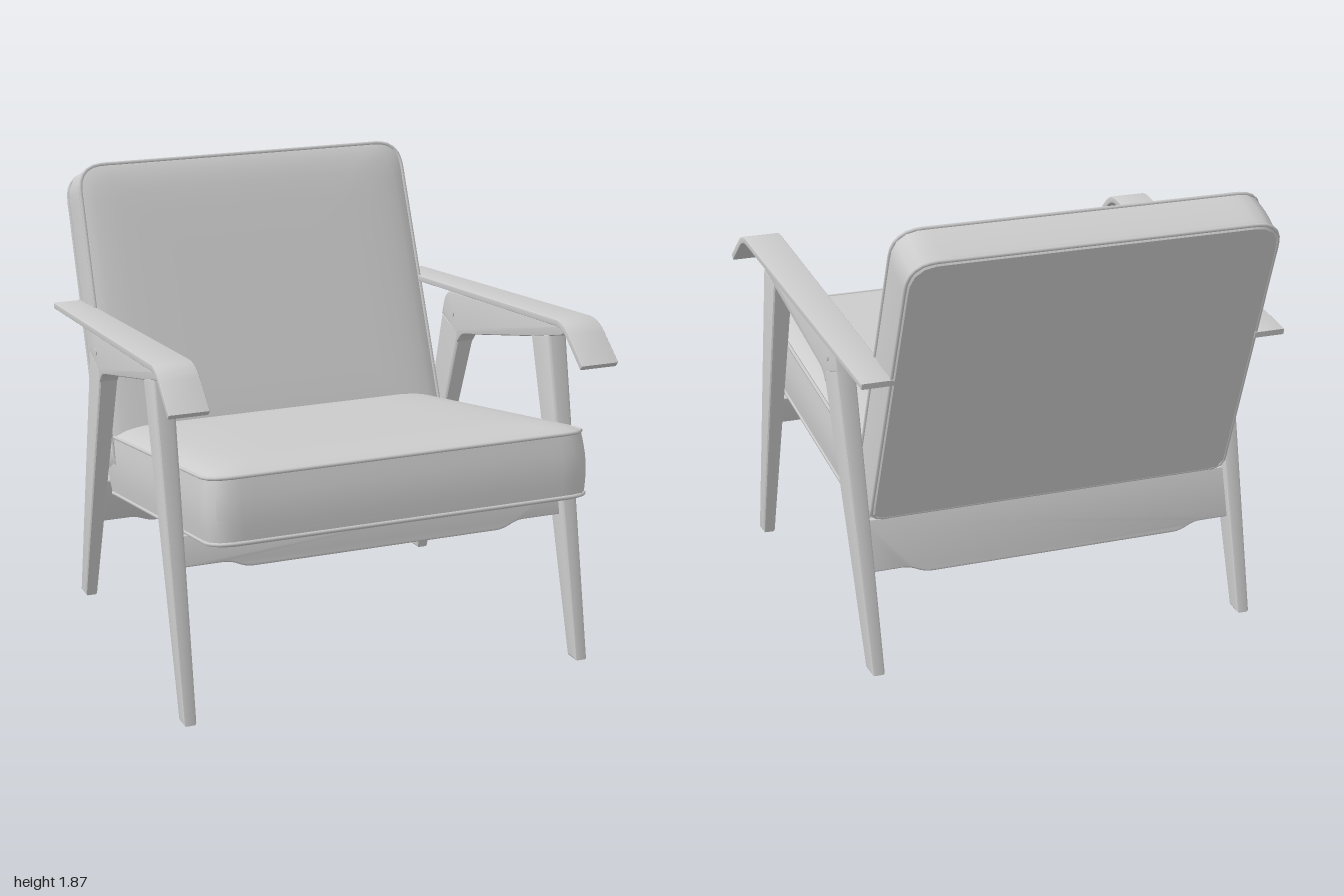
import * as THREE from 'three';
import { toCreasedNormals } from 'three/addons/utils/BufferGeometryUtils.js';

const paleGrey = new THREE.MeshStandardMaterial({ color: 0xcccccc });
paleGrey.name = 'paleGrey';
const deg = THREE.MathUtils.degToRad;

// Polygon whose corners [x, y, radius] are rounded off
function rounded(corners) {
  const shape = new THREE.Shape();
  const pts = corners.map(([x, y]) => new THREE.Vector2(x, y));
  const n = pts.length;
  pts.forEach((p, i) => {
    const r = corners[i][2] || 0;
    const toward = q => p.clone().add(q.clone().sub(p).setLength(r));
    const a = toward(pts[(i + n - 1) % n]), b = toward(pts[(i + 1) % n]);
    if (i === 0) shape.moveTo(a.x, a.y); else shape.lineTo(a.x, a.y);
    if (r) shape.quadraticCurveTo(p.x, p.y, b.x, b.y);
  });
  shape.closePath();
  return shape;
}

function mesh(name, geometry) {
  const m = new THREE.Mesh(geometry, paleGrey);
  m.name = name;
  return m;
}

// Solid of the given depth, centred on its extrusion axis, with softened edges
function slab(corners, depth, bevel) {
  const geo = new THREE.ExtrudeGeometry(rounded(corners), {
    depth: depth - 2 * bevel, curveSegments: 8, bevelEnabled: true,
    bevelSize: bevel, bevelThickness: bevel, bevelOffset: -bevel, bevelSegments: 3,
  });
  return geo.translate(0, 0, bevel - depth / 2);
}

// Side-frame part from a [z, y, radius] profile; centre and width vary along it
function sidePart(name, side, profile, width, bevel, centre, scale) {
  const geo = slab(profile.map(([z, y, r]) => [-z, y, r]), width, bevel).rotateY(Math.PI / 2);
  const p = geo.attributes.position;
  for (let i = 0; i < p.count; i++) {
    const y = p.getY(i), z = p.getZ(i);
    p.setX(i, side * centre(z) + p.getX(i) * scale(z, y));
  }
  return mesh(name, toCreasedNormals(geo, 0.5));
}

// Upholstered block: flat base, bulging sides, crowned face, piping on both edges
function cushion(name, corners, height, crown, bulge) {
  const group = new THREE.Group();
  group.name = name;
  const outline = rounded(corners).getSpacedPoints(120).slice(0, -1);
  const n = outline.length;
  const box = new THREE.Box2().setFromPoints(outline);
  const mid = box.getCenter(new THREE.Vector2());
  const half = box.getSize(new THREE.Vector2()).multiplyScalar(0.5);

  const rings = [[0, 0], [0.5, 0], [0.985, 0]];
  for (let i = 0; i <= 8; i++) {
    const t = i / 8;
    rings.push([1 + bulge * Math.sin(Math.PI * t), 0.012 + (height - 0.012) * t]);
  }
  for (const s of [0.99, 0.975, 0.95, 0.92, 0.87, 0.8, 0.65, 0.4, 0]) {
    rings.push([s, height + crown * (1 - s ** 10)]);
  }

  const pos = [], index = [];
  for (const [s, w] of rings) {
    for (const p of outline) {
      // Offset both axes by the same distance near the rim
      const d = (1 - s) * Math.min(half.x, half.y);
      const sx = s > 0.9 ? 1 - d / half.x : s, sy = s > 0.9 ? 1 - d / half.y : s;
      pos.push(mid.x + (p.x - mid.x) * sx, mid.y + (p.y - mid.y) * sy, w);
    }
  }
  for (let k = 0; k < rings.length - 1; k++) {
    for (let i = 0; i < n; i++) {
      const a = k * n + i, b = k * n + (i + 1) % n;
      if (k > 0) index.push(a, b, b + n);
      if (k < rings.length - 2) index.push(a, b + n, a + n);
      if (k === 0) index.push(a, b + n, a + n);
      if (k === rings.length - 2) index.push(a, b, a + n);
    }
  }
  const geo = new THREE.BufferGeometry();
  geo.setAttribute('position', new THREE.Float32BufferAttribute(pos, 3));
  geo.setIndex(dedupe(index));
  group.add(mesh(name + 'Body', toCreasedNormals(geo, 0.6)));

  for (const w of [0.012, height]) {
    const path = new THREE.CatmullRomCurve3(outline.map(p => new THREE.Vector3(p.x, p.y, w)), true);
    group.add(mesh(name + 'Piping', new THREE.TubeGeometry(path, 180, 0.008, 6, true)));
  }
  return group;
}

// Drops repeated triangles
function dedupe(index) {
  const seen = new Set(), out = [];
  for (let i = 0; i < index.length; i += 3) {
    const t = index.slice(i, i + 3), key = t.join();
    if (!seen.has(key)) { seen.add(key); out.push(...t); }
  }
  return out;
}

// Cross rail whose lower edge drops a little between the ends
function rail(name, halfWidth, top, endBottom, midBottom) {
  const half = [[halfWidth, top], [halfWidth, endBottom], [0.62, endBottom, 0.03], [0.55, midBottom, 0.03]];
  const corners = [...half, ...half.map(([x, y, r]) => [-x, y, r]).reverse()];
  return mesh(name, toCreasedNormals(slab(corners, 0.055, 0.008), 0.5));
}

export function createModel() {
  const model = new THREE.Group();
  model.name = 'lowArmchair';

  // Cushions
  const seat = cushion('seatCushion', [
    [-0.795, 0, 0.11], [0.795, 0, 0.11], [0.74, 1.46, 0.03], [-0.74, 1.46, 0.03],
  ], 0.262, 0.045, 0.014);
  seat.rotation.x = deg(-100);
  seat.position.set(0, 0.76, 0.99);
  const back = cushion('backCushion', [
    [-0.76, 0, 0.04], [0.76, 0, 0.04], [0.742, 1.29, 0.11], [-0.742, 1.29, 0.11],
  ], 0.205, 0.03, 0.008);
  back.rotation.x = deg(-22);
  back.position.set(0, 0.59, -0.51);
  model.add(seat, back);

  // Side frames, toed in towards the rear
  const frameX = z => 0.845 + (z - 0.8) * 0.035;
  const legTaper = (z, y) => 0.65 + 0.35 * Math.min(1, y / 1.2);
  const armX = z => 0.85 + (z - 0.85) * 0.027;
  const armTaper = z => 1 + (z - 0.85) * 0.115;
  for (const side of [1, -1]) {
    const frame = new THREE.Group();
    frame.name = side > 0 ? 'leftFrame' : 'rightFrame';
    frame.add(
      sidePart('frontLeg', side,
        [[0.85, 0], [0.78, 0], [0.43, 1.28], [0.575, 1.32]], 0.082, 0.014, frameX, legTaper),
      sidePart('rearLeg', side,
        [[-0.595, 0], [-0.68, 0], [-0.362, 1.18], [-0.2, 1.13], [-0.215, 1.08]], 0.082, 0.014, frameX, legTaper),
      sidePart('armBeam', side, [
        [0.71, 1.384, 0.01], [0.69, 1.34, 0.03], [0.43, 1.272], [-0.1, 1.145, 0.05], [-0.18, 1.125, 0.03],
        [-0.218, 1.08], [-0.235, 1.13], [-0.365, 1.175], [-0.33, 1.292, 0.06],
      ], 0.08, 0.008, frameX, () => 1),
      sidePart('armrest', side, [
        [-0.79, 1.282], [0.745, 1.416, 0.07], [0.91, 1.275], [0.892, 1.255],
        [0.735, 1.387, 0.06], [-0.785, 1.258],
      ], 0.16, 0.004, armX, armTaper),
    );
    // Screw heads on both faces of the rear joint
    for (const face of [1, -1]) {
      const screw = mesh('screwHead', new THREE.CylinderGeometry(0.014, 0.014, 0.006, 16));
      screw.rotation.z = Math.PI / 2;
      screw.position.set(side * frameX(-0.26) + face * 0.041, 1.2, -0.26);
      frame.add(screw);
    }
    // Bearer running under the seat
    const bearer = mesh('seatBearer', toCreasedNormals(slab(
      [[-0.05, 0, 0.04], [0.05, 0, 0.04], [0.05, 0.125], [-0.05, 0.125]], 1.1, 0.004), 0.6));
    bearer.rotation.x = deg(-10.2);
    bearer.position.set(side * 0.45, 0.478, 0.08);
    frame.add(bearer);
    model.add(frame);
  }

  // Cross rails, leaning with the legs
  const frontRail = rail('frontRail', 0.82, 0.075, -0.05, -0.08);
  frontRail.rotation.x = deg(-13);
  frontRail.position.set(0, 0.63, 0.655);
  const rearRail = rail('rearRail', 0.79, 0.13, -0.08, -0.11);
  rearRail.rotation.x = deg(16);
  rearRail.position.set(0, 0.455, -0.5);
  model.add(frontRail, rearRail);

  return model;
}
